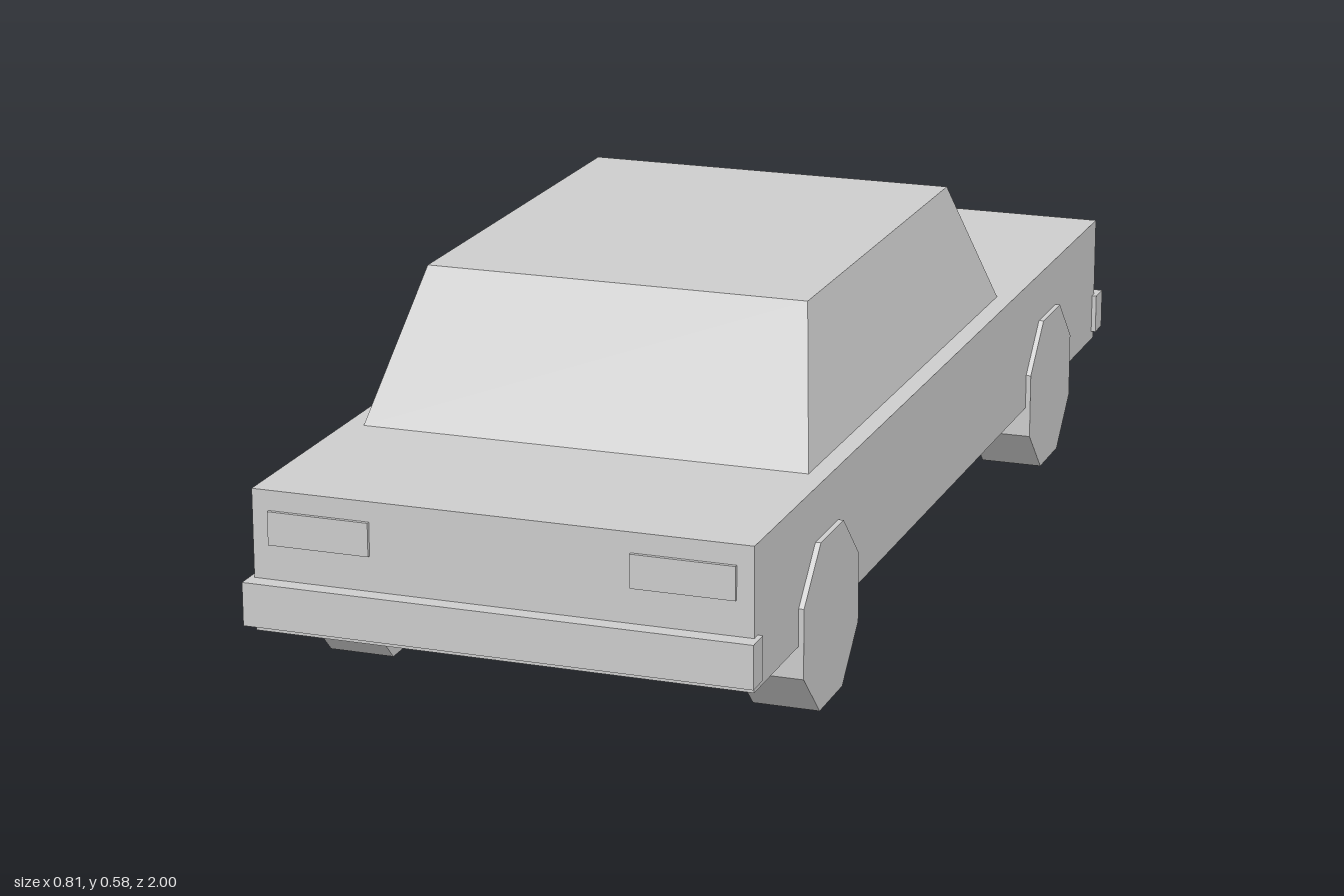
import * as THREE from 'three';

export function createModel() {
  const car = new THREE.Group();
  car.name = 'car';
  const grey = new THREE.MeshStandardMaterial({ color: 0xcccccc, flatShading: true });
  grey.name = 'lightGrey';

  const add = (name, geometry, x, y, z) => {
    const mesh = new THREE.Mesh(geometry, grey);
    mesh.name = name;
    mesh.position.set(x, y, z);
    car.add(mesh);
    return mesh;
  };
  // Box given by its limits on each axis
  const box = (name, [x0, x1], [y0, y1], [z0, z1]) =>
    add(name, new THREE.BoxGeometry(x1 - x0, y1 - y0, z1 - z0),
      (x0 + x1) / 2, (y0 + y1) / 2, (z0 + z1) / 2);

  // Lower body
  box('body', [-0.397, 0.397], [0.131, 0.356], [-0.971, 0.973]);

  // Cabin: a box tapered towards the roof
  const cabin = new THREE.BoxGeometry(2, 1, 2);
  const p = cabin.attributes.position;
  for (let i = 0; i < p.count; i++) {
    const roof = p.getY(i) > 0;
    const front = p.getZ(i) > 0;
    const z = roof ? (front ? 0.486 : -0.264) : (front ? 0.632 : -0.41);
    p.setXYZ(i, Math.sign(p.getX(i)) * (roof ? 0.315 : 0.366), roof ? 0.583 : 0.356, z);
  }
  cabin.computeVertexNormals();
  add('cabin', cabin, 0, 0, 0);

  // Bumpers
  box('frontBumper', [-0.405, 0.405], [0.146, 0.215], [0.957, 1]);
  box('rearBumper', [-0.405, 0.405], [0.146, 0.215], [-1, -0.957]);

  // Lights, and the plate between the rear pair
  for (const [side, s] of [['left', 1], ['right', -1]]) {
    const span = (a, b) => (s > 0 ? [a, b] : [-b, -a]);
    box(side + 'Headlight', span(0.207, 0.37), [0.271, 0.324], [0.971, 0.979]);
    box(side + 'TailLight', span(0.203, 0.361), [0.271, 0.324], [-0.977, -0.969]);
  }
  box('rearPlate', [-0.158, 0.158], [0.231, 0.279], [-0.982, -0.969]);

  // Eight-sided wheels standing on a flat side
  const apothem = 0.135;
  const radius = apothem / Math.cos(Math.PI / 8);
  const wheel = new THREE.CylinderGeometry(radius, radius, 0.107, 8, 1, false, Math.PI / 8);
  wheel.rotateZ(Math.PI / 2);
  for (const [end, z] of [['front', 0.635], ['rear', -0.635]]) {
    for (const [side, s] of [['Left', 1], ['Right', -1]]) {
      add(end + side + 'Wheel', wheel, s * 0.352, apothem, z);
    }
  }
  return car;
}
